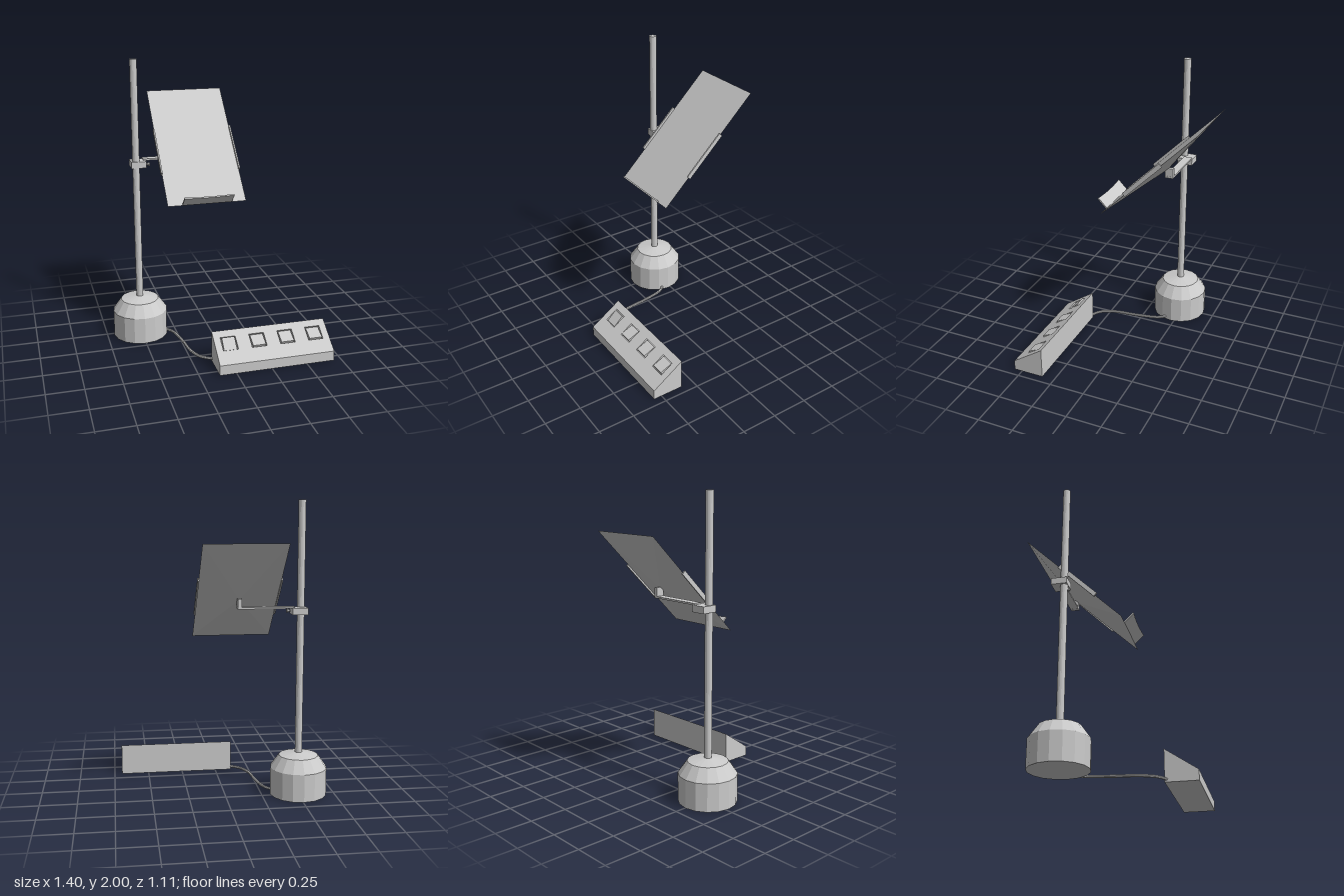
import * as THREE from 'three';

const grey = new THREE.MeshStandardMaterial({ color: 0xcccccc, flatShading: true });
const thin = new THREE.MeshStandardMaterial({ color: 0xcccccc, flatShading: true, side: THREE.DoubleSide });

function add(parent, name, geometry, x = 0, y = 0, z = 0, material = grey) {
  const mesh = new THREE.Mesh(geometry, material);
  mesh.name = name;
  mesh.position.set(x, y, z);
  parent.add(mesh);
  return mesh;
}

const box = (w, h, d) => new THREE.BoxGeometry(w, h, d);

// Flat-backed pyramid: rectangle facing +z, apex behind it
function pyramidPanel(w, h, depth) {
  const a = [-w / 2, -h / 2, 0], b = [w / 2, -h / 2, 0];
  const c = [w / 2, h / 2, 0], d = [-w / 2, h / 2, 0], apex = [0, 0, -depth];
  const faces = [a, b, c, a, c, d, b, a, apex, c, b, apex, d, c, apex, a, d, apex];
  const g = new THREE.BufferGeometry();
  g.setAttribute('position', new THREE.Float32BufferAttribute(faces.flat(), 3));
  g.computeVertexNormals();
  return g;
}

// Extrudes a (z, y) side profile along x, from x0 to x1
function sideProfile(points, x0, x1) {
  const shape = new THREE.Shape(points.map(([z, y]) => new THREE.Vector2(-z, y)));
  const g = new THREE.ExtrudeGeometry(shape, { depth: x1 - x0, bevelEnabled: false });
  g.rotateY(Math.PI / 2);
  g.translate(x0, 0, 0);
  return g;
}

function createStand() {
  const stand = new THREE.Group();
  stand.name = 'stand';
  stand.position.set(-0.505, 0, -0.227);
  const profile = [[0, 0], [0.195, 0], [0.195, 0.19], [0.135, 0.275], [0, 0.3]];
  add(stand, 'weightedBase', new THREE.LatheGeometry(profile.map(p => new THREE.Vector2(...p)), 16));
  add(stand, 'pole', new THREE.CylinderGeometry(0.025, 0.025, 1.72, 16), 0, 1.14, 0);
  return stand;
}

function createClamp() {
  const clamp = new THREE.Group();
  clamp.name = 'clamp';
  add(clamp, 'clampBlock', box(0.105, 0.045, 0.107), -0.487, 1.274, -0.253);
  // Thumb screw pointing along +x
  const screw = add(clamp, 'screw', new THREE.CylinderGeometry(0.007, 0.007, 0.06, 8), -0.44, 1.272, -0.225);
  screw.rotation.z = -Math.PI / 2;
  const knob = add(clamp, 'screwKnob', new THREE.CylinderGeometry(0.016, 0.004, 0.025, 8), -0.423, 1.272, -0.225);
  knob.rotation.z = -Math.PI / 2;
  // Arm reaching behind the panel, with an upright tab at its end
  add(clamp, 'arm', box(0.38, 0.012, 0.057), -0.26, 1.3, -0.272);
  add(clamp, 'armTab', box(0.025, 0.07, 0.057), -0.083, 1.328, -0.272);
  return clamp;
}

function createPanel() {
  const panel = new THREE.Group();
  panel.name = 'readingPanel';
  const w = 0.545, h = 0.953;
  panel.position.set(-0.085, 1.395, -0.215);
  panel.rotation.x = -Math.atan2(0.68, 0.67);
  add(panel, 'backboard', pyramidPanel(w, h, 0.062));

  // Side clips
  for (const s of [-1, 1]) {
    add(panel, s > 0 ? 'leftClip' : 'rightClip', box(0.01, 0.36, 0.03), s * (w / 2 + 0.002), -0.045, 0.003);
  }

  // Bottom ledge with a shallow concave front edge
  const ledge = new THREE.Shape();
  ledge.moveTo(-0.172, 0);
  ledge.lineTo(0.172, 0);
  ledge.lineTo(0.172, 0.09);
  ledge.quadraticCurveTo(0, 0.074, -0.172, 0.09);
  ledge.closePath();
  const g = new THREE.ExtrudeGeometry(ledge, { depth: 0.01, bevelEnabled: false, curveSegments: 6 });
  g.rotateX(Math.PI / 2);
  add(panel, 'ledge', g, 0, -h / 2 + 0.01, 0, thin);
  return panel;
}

function createControlBox() {
  const control = new THREE.Group();
  control.name = 'controlBox';
  const front = [0.558, 0.07], back = [0.341, 0.217];
  const tilt = Math.atan2(back[1] - front[1], front[0] - back[0]);
  // Point on the sloped face at fraction t, sunk by depth
  const slope = (t, depth = 0) => [
    THREE.MathUtils.lerp(front[0], back[0], t) - depth * Math.sin(tilt),
    THREE.MathUtils.lerp(front[1], back[1], t) - depth * Math.cos(tilt),
  ];
  const t0 = 0.405, t1 = 0.8, sink = 0.022;
  const solid = [[0.341, 0], [0.558, 0], front, back];
  const notched = [[0.341, 0], [0.558, 0], front, slope(t0), slope(t0, sink), slope(t1, sink), slope(t1), back];

  // Body in slices, notched where a switch sits
  let x = -0.116;
  [-0.015, 0.188, 0.391, 0.595].forEach((cx, i) => {
    add(control, 'bodySlice', sideProfile(solid, x, cx - 0.053));
    add(control, 'switchSlot', sideProfile(notched, cx - 0.053, cx + 0.053));
    x = cx + 0.053;
    // Rocker: the first is pressed the other way
    const [z, y] = slope((t0 + t1) / 2, 0.01);
    const rocker = add(control, 'rockerSwitch', box(0.09, 0.022, 0.092), cx, y, z);
    rocker.rotation.x = tilt + (i === 0 ? 0.17 : -0.17);
  });
  add(control, 'bodySlice', sideProfile(solid, x, 0.696));
  return control;
}

function createCable() {
  const path = [[-0.36, -0.21], [-0.29, -0.14], [-0.25, 0.03], [-0.228, 0.2], [-0.18, 0.305], [-0.1, 0.36]];
  const curve = new THREE.CatmullRomCurve3(path.map(([x, z]) => new THREE.Vector3(x, 0.02, z)));
  return new THREE.TubeGeometry(curve, 28, 0.01, 8);
}

export function createModel() {
  const model = new THREE.Group();
  model.name = 'readingStand';
  model.add(createStand(), createClamp(), createPanel(), createControlBox());
  add(model, 'cable', createCable());
  return model;
}
